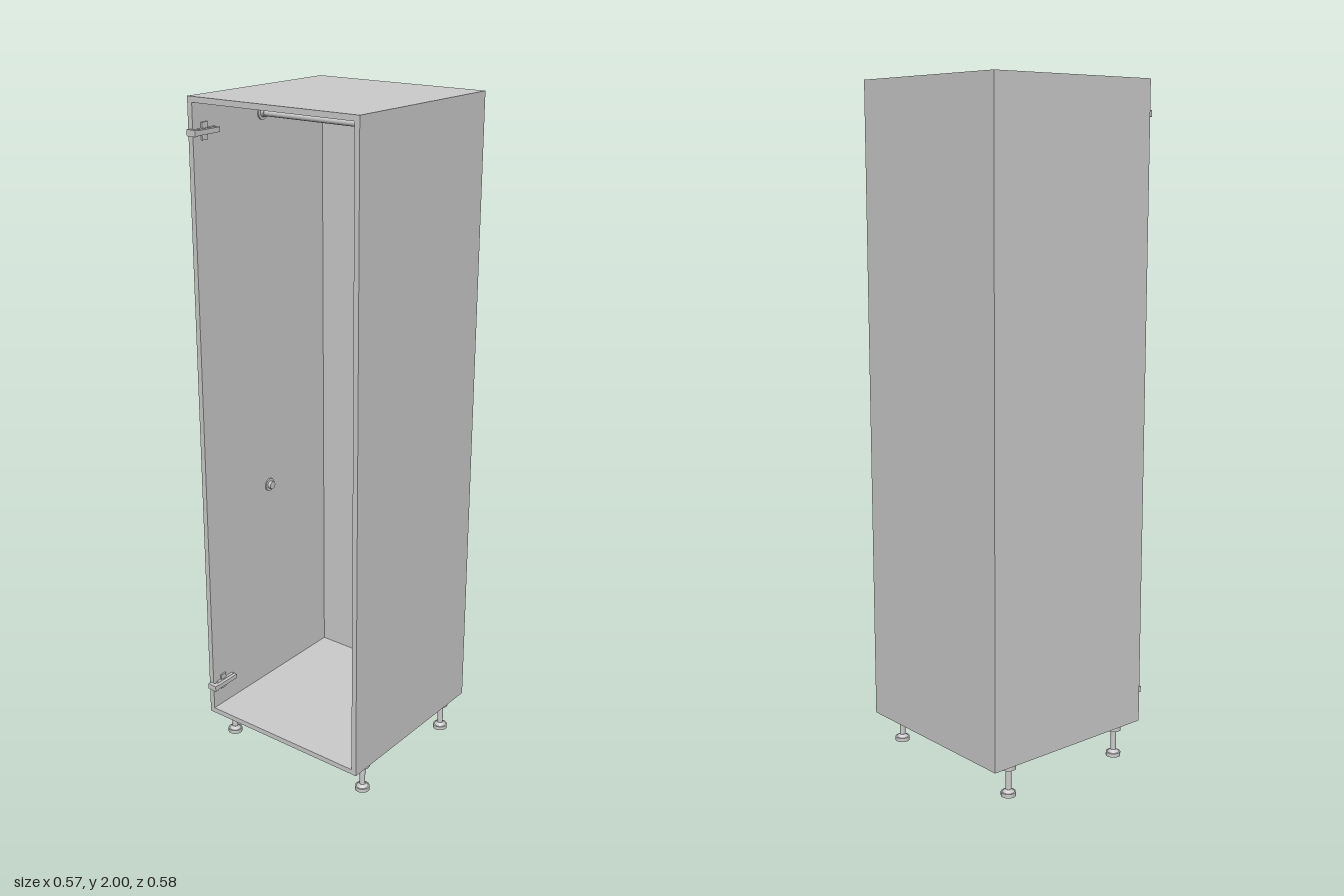
import * as THREE from 'three';

const material = new THREE.MeshStandardMaterial({ color: 0xcccccc });

function add(parent, name, geometry, x = 0, y = 0, z = 0) {
  const mesh = new THREE.Mesh(geometry, material);
  mesh.name = name;
  mesh.position.set(x, y, z);
  parent.add(mesh);
  return mesh;
}

const box = (w, h, d) => new THREE.BoxGeometry(w, h, d);
const cylinder = (r, h, sides = 24) => new THREE.CylinderGeometry(r, r, h, sides);

// Cabinet extents
const HALF_W = 0.286, BOTTOM = 0.1, TOP = 2, BACK = -0.293, FRONT = 0.278, WALL = 0.016;
const DEPTH = FRONT - BACK, MID_Z = (FRONT + BACK) / 2, MID_Y = (TOP + BOTTOM) / 2;
const INNER = HALF_W - WALL;

function makeLeg() {
  const leg = new THREE.Group();
  leg.name = 'leg';
  add(leg, 'footPad', cylinder(0.022, 0.012), 0, 0.006);
  add(leg, 'footCollar', new THREE.CylinderGeometry(0.009, 0.018, 0.008, 24), 0, 0.016);
  add(leg, 'legStem', cylinder(0.0085, 0.08), 0, 0.05);
  add(leg, 'legSocket', cylinder(0.022, 0.018), 0, 0.091);
  return leg;
}

function makeHinge() {
  const hinge = new THREE.Group();
  hinge.name = 'hinge';
  // Wing plate fixed to the inner side wall
  add(hinge, 'mountingPlate', box(0.005, 0.048, 0.022), -INNER + 0.0025, 0, 0.236);
  add(hinge, 'plateSpine', box(0.009, 0.016, 0.07), -INNER + 0.0045, 0, 0.228);
  // Arm reaching forward to the door side
  add(hinge, 'hingeArm', box(0.011, 0.014, 0.085), -0.256, 0, 0.234);
  add(hinge, 'hingeKnuckle', box(0.016, 0.014, 0.014), -0.258, 0, 0.275);
  // Cup that would sit in a door
  add(hinge, 'hingeCup', box(0.02, 0.018, 0.012), -0.26, 0, 0.285);
  add(hinge, 'cupFlange', box(0.011, 0.018, 0.011), -0.2755, 0, 0.2845);
  return hinge;
}

// Socket on a side wall: a round flange with a raised ring
function makeRodSocket(side) {
  const socket = new THREE.Group();
  socket.name = 'rodSocket';
  add(socket, 'socketFlange', cylinder(0.02, 0.004), side * (INNER - 0.002)).rotation.z = Math.PI / 2;
  add(socket, 'socketRing', cylinder(0.012, 0.014), side * (INNER - 0.007)).rotation.z = Math.PI / 2;
  return socket;
}

export function createModel() {
  const model = new THREE.Group();
  model.name = 'tallCabinet';

  // Carcass panels
  for (const s of [-1, 1]) {
    add(model, s > 0 ? 'leftPanel' : 'rightPanel', box(WALL, TOP - BOTTOM, DEPTH), s * (HALF_W - WALL / 2), MID_Y, MID_Z);
  }
  add(model, 'topPanel', box(INNER * 2, WALL, DEPTH), 0, TOP - WALL / 2, MID_Z);
  add(model, 'bottomPanel', box(INNER * 2, WALL, DEPTH), 0, BOTTOM + WALL / 2, MID_Z);
  add(model, 'backPanel', box(INNER * 2, TOP - BOTTOM - WALL * 2, 0.012), 0, MID_Y, BACK + 0.006);

  // Hanging rod and its sockets, with a spare pair lower down
  add(model, 'hangingRod', cylinder(0.0095, INNER * 2 - 0.006), 0, 1.926, -0.007).rotation.z = Math.PI / 2;
  for (const y of [1.926, 0.785]) {
    for (const s of [-1, 1]) {
      const socket = makeRodSocket(s);
      socket.position.set(0, y, -0.007);
      model.add(socket);
    }
  }

  // Door hinges
  for (const y of [1.905, 0.197]) {
    const hinge = makeHinge();
    hinge.position.y = y;
    model.add(hinge);
  }

  // Adjustable legs
  for (const x of [-0.254, 0.254]) {
    for (const z of [0.202, -0.217]) {
      const leg = makeLeg();
      leg.position.set(x, 0, z);
      model.add(leg);
    }
  }
  return model;
}
